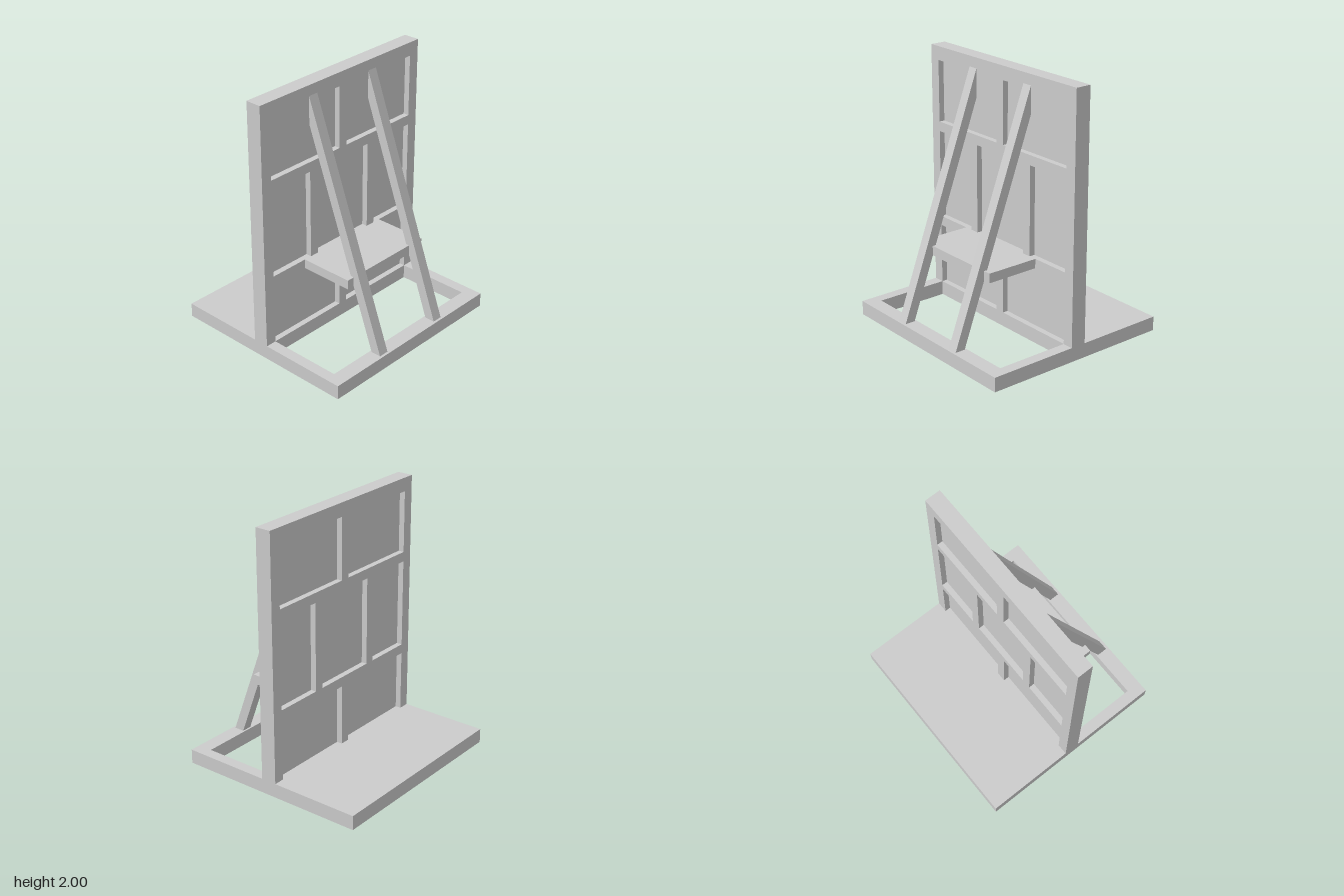
import * as THREE from 'three';

const grey = new THREE.MeshStandardMaterial({ color: 0xcccccc, flatShading: true });
const thin = new THREE.MeshStandardMaterial({ color: 0xcccccc, flatShading: true, side: THREE.DoubleSide });

const HALF_X = 0.755, HALF_Z = 0.8, DECK = 0.11;
const WALL_BACK = -0.063, WALL_FRONT = 0.06;

// Box given by its limits on each axis
function block(parent, name, x0, x1, y0, y1, z0, z1) {
  const mesh = new THREE.Mesh(new THREE.BoxGeometry(x1 - x0, y1 - y0, z1 - z0), grey);
  mesh.position.set((x0 + x1) / 2, (y0 + y1) / 2, (z0 + z1) / 2);
  mesh.name = name;
  parent.add(mesh);
}

// Four upright strips around a rectangle, from the ground to the deck
function skirt(parent, name, x0, x1, halfZ) {
  const strip = (width, x, z, turn) => {
    const mesh = new THREE.Mesh(new THREE.PlaneGeometry(width, DECK), thin);
    mesh.position.set(x, DECK / 2, z);
    mesh.rotation.y = turn;
    mesh.name = name;
    parent.add(mesh);
  };
  for (const s of [1, -1]) strip(x1 - x0, (x0 + x1) / 2, s * halfZ, s > 0 ? 0 : Math.PI);
  strip(2 * halfZ, x1, 0, Math.PI / 2);
  strip(2 * halfZ, x0, 0, -Math.PI / 2);
}

function rectangle(PathType, x0, x1, halfZ) {
  return new PathType([[x0, -halfZ], [x1, -halfZ], [x1, halfZ], [x0, halfZ]]
    .map(([x, z]) => new THREE.Vector2(x, z)));
}

// Hollow base, open underneath: solid deck on one side, open frame on the other
function createBase() {
  const base = new THREE.Group();
  base.name = 'base';
  const x0 = WALL_FRONT, x1 = 0.64, halfZ = 0.715;
  const shape = rectangle(THREE.Shape, -HALF_X, HALF_X, HALF_Z);
  shape.holes.push(rectangle(THREE.Path, x0, x1, halfZ));
  const deck = new THREE.Mesh(new THREE.ShapeGeometry(shape).rotateX(-Math.PI / 2), thin);
  deck.position.y = DECK;
  deck.name = 'deck';
  base.add(deck);
  skirt(base, 'baseSide', -HALF_X, HALF_X, HALF_Z);
  skirt(base, 'openingSide', x0, x1, halfZ);
  return base;
}

// Wall of rails and stiles around a thin core, recessed on both faces
function createWall() {
  const wall = new THREE.Group();
  wall.name = 'wall';
  const inner = 0.715;
  const bar = (name, y0, y1, z0, z1) => block(wall, name, WALL_BACK, WALL_FRONT, y0, y1, z0, z1);
  bar('leftPost', DECK, 2, inner, HALF_Z);
  bar('rightPost', DECK, 2, -HALF_Z, -inner);
  for (const [y0, y1] of [[0.585, 0.66], [1.345, 1.42], [1.895, 2]]) bar('rail', y0, y1, -inner, inner);
  // Each row: bottom, top, stile centres
  for (const [y0, y1, centres] of [[DECK, 0.585, [0]], [0.66, 1.345, [-0.3, 0.3]], [1.42, 1.895, [0]]]) {
    for (const z of centres) bar('stile', y0, y1, z - 0.037, z + 0.037);
  }
  block(wall, 'corePanel', WALL_BACK + 0.045, WALL_FRONT - 0.045, DECK, 1.95, -inner - 0.02, inner + 0.02);
  return wall;
}

// Sloping braces, cut flush to the wall and the base
function createBraces() {
  const braces = new THREE.Group();
  braces.name = 'braces';
  const profile = new THREE.Shape([[WALL_FRONT, 1.71], [0.655, DECK], [0.735, DECK], [WALL_FRONT, 1.92]]
    .map(([x, y]) => new THREE.Vector2(x, y)));
  const geometry = new THREE.ExtrudeGeometry(profile, { depth: 0.08, bevelEnabled: false });
  for (const z of [-0.3, 0.3]) {
    const brace = new THREE.Mesh(geometry, grey);
    brace.position.z = z - 0.04;
    brace.name = 'brace';
    braces.add(brace);
  }
  return braces;
}

export function createModel() {
  const model = new THREE.Group();
  model.name = 'bracedWall';
  model.add(createBase(), createWall(), createBraces());
  block(model, 'shelf', WALL_FRONT, 0.478, 0.588, 0.66, -0.4, 0.4);
  return model;
}
